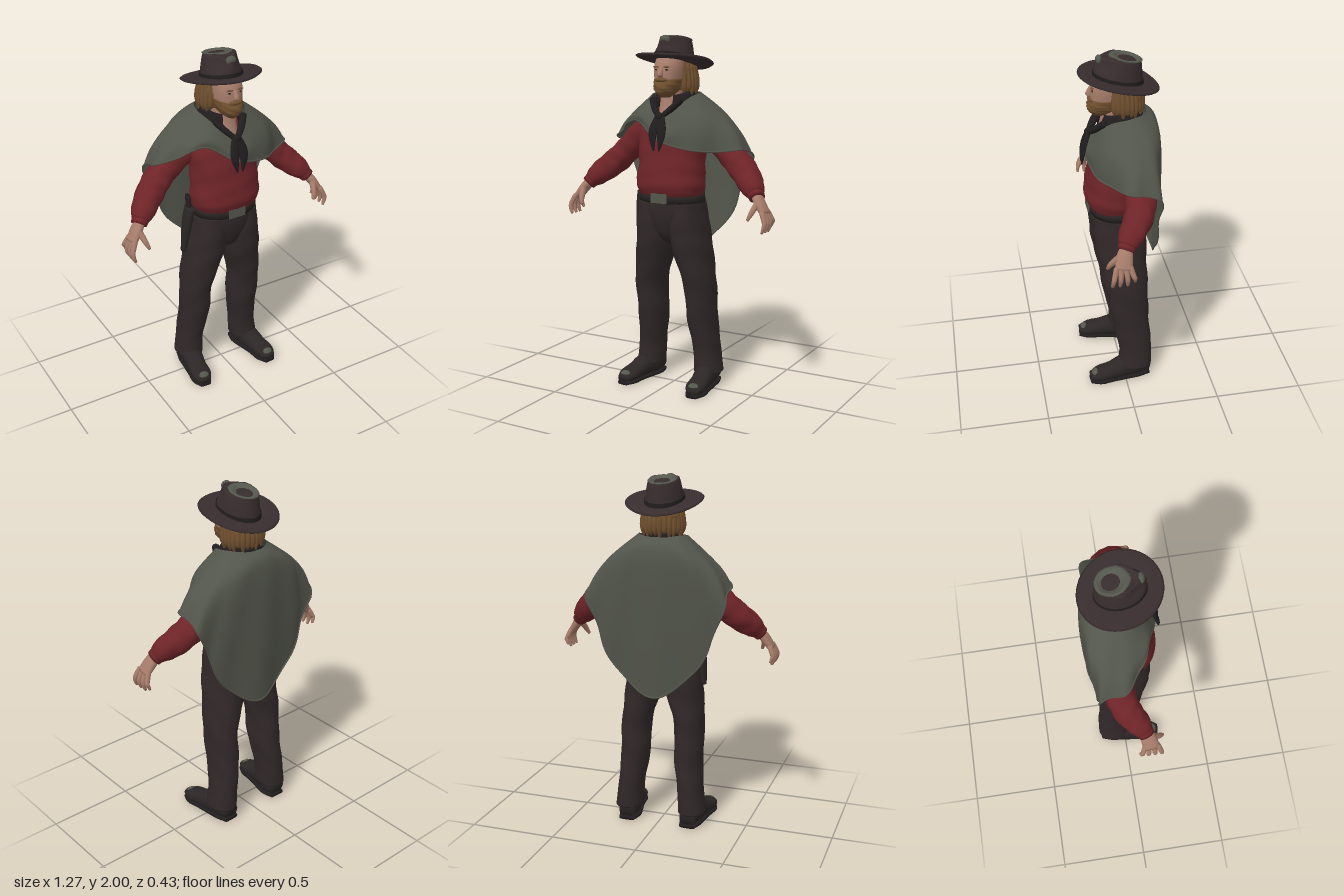
import * as THREE from 'three';

const mat = (name, color, side = THREE.FrontSide) => {
  const m = new THREE.MeshStandardMaterial({ color, side });
  m.name = name;
  return m;
};

// Catmull-Rom interpolation of rows of numbers, t from 0 to 1
function sample(rows, t) {
  const f = t * (rows.length - 1), i = Math.min(Math.floor(f), rows.length - 2), k = f - i;
  const at = j => rows[Math.max(0, Math.min(rows.length - 1, j))];
  return rows[i].map((_, c) => {
    const a = at(i - 1)[c], b = at(i)[c], d = at(i + 1)[c], e = at(i + 2)[c];
    return b + 0.5 * k * (d - a + k * (2 * a - 5 * b + 4 * d - e + k * (3 * (b - d) + e - a)));
  });
}

// Skin over closed rings of Vector3, optionally capped
function skin(rings, caps = true) {
  const n = rings[0].length, pos = [], idx = [];
  rings.forEach(r => r.forEach(p => pos.push(p.x, p.y, p.z)));
  for (let i = 0; i < rings.length - 1; i++) for (let j = 0; j < n; j++) {
    const a = i * n + j, b = i * n + (j + 1) % n;
    idx.push(a, b, a + n, b, b + n, a + n);
  }
  if (caps) [0, rings.length - 1].forEach((i, end) => {
    const c = new THREE.Vector3(), k = pos.length / 3;
    rings[i].forEach(p => c.addScaledVector(p, 1 / n));
    pos.push(c.x, c.y, c.z);
    for (let j = 0; j < n; j++) {
      const a = i * n + j, b = i * n + (j + 1) % n;
      end ? idx.push(k, a, b) : idx.push(k, b, a);
    }
  });
  const g = new THREE.BufferGeometry();
  g.setAttribute('position', new THREE.Float32BufferAttribute(pos, 3));
  g.setIndex(idx);
  g.computeVertexNormals();
  return g;
}

// Rounded section swept through rows [x, y, z, halfWidth, halfDepth], top to bottom.
// With 'up' the sections turn to follow the path; 'fold' adds cloth wrinkles.
function loft(rows, { n = 24, steps = 16, pow = 2.2, fold = 0, up = null, caps = true } = {}) {
  const rings = [];
  for (let i = 0; i <= steps; i++) {
    const t = i / steps, [x, y, z, a, b] = sample(rows, t);
    const U = new THREE.Vector3(1, 0, 0), W = new THREE.Vector3(0, 0, 1);
    if (up) {
      const p = sample(rows, Math.max(0, t - 0.02)), q = sample(rows, Math.min(1, t + 0.02));
      const T = new THREE.Vector3(q[0] - p[0], q[1] - p[1], q[2] - p[2]).normalize();
      W.copy(up).addScaledVector(T, -up.dot(T)).normalize();
      U.crossVectors(W, T);
    }
    rings.push(Array.from({ length: n }, (_, j) => {
      const th = j / n * Math.PI * 2, c = Math.cos(th), s = Math.sin(th);
      const e = v => Math.sign(v) * Math.abs(v) ** (2 / pow);
      const w = 1 + fold * (Math.sin(t * 38 + 2 * c + 3 * s) + 0.7 * Math.sin(5 * th + t * 17)) * Math.sin(Math.PI * t);
      return new THREE.Vector3(x, y, z).addScaledVector(U, a * w * e(c)).addScaledVector(W, b * w * e(s));
    }));
  }
  return skin(rings, caps);
}

export function createModel() {
  const root = new THREE.Group();
  root.name = 'cloakedRancher';
  const D = THREE.DoubleSide, Z = new THREE.Vector3(0, 0, 1), Y = new THREE.Vector3(0, 1, 0);
  const felt = mat('darkFelt', 0x382d2e), trouser = mat('darkTrousers', 0x312828), red = mat('redShirt', 0x6e2428);
  const wool = mat('greyGreenWool', 0x52554b, D), flesh = mat('skin', 0xa67c6a), hairMat = mat('brownHair', 0x70502f);
  const black = mat('blackCloth', 0x211d1e, D), leather = mat('darkLeather', 0x2c2626), grey = mat('wornGrey', 0x54574d);
  const add = (name, geo, m) => {
    const mesh = new THREE.Mesh(geo, m);
    mesh.name = name;
    root.add(mesh);
    return mesh;
  };
  const blob = (name, m, p, s) => {
    const o = add(name, new THREE.SphereGeometry(1, 16, 10), m);
    o.position.set(...p);
    o.scale.set(...s);
  };

  // Torso, hips and belt
  add('shirt', loft([[0, 1.6, -0.02, 0.1, 0.09], [0, 1.55, -0.01, 0.17, 0.125], [0, 1.45, 0.01, 0.2, 0.145], [0, 1.3, 0.03, 0.192, 0.15],
    [0, 1.18, 0.04, 0.2, 0.155], [0, 1.12, 0.03, 0.185, 0.145]], { n: 40, steps: 36, fold: 0.014 }), red);
  add('trouserHips', loft([[0, 1.11, 0.02, 0.18, 0.145], [0, 1.02, 0.017, 0.19, 0.147], [0, 0.93, 0.005, 0.13, 0.138],
    [0, 0.87, 0, 0.08, 0.11], [0, 0.835, 0, 0.04, 0.06]], { n: 32 }), trouser);
  add('belt', loft([[0, 1.14, 0.027, 0.187, 0.15], [0, 1.08, 0.022, 0.19, 0.152]], { n: 32, steps: 2 }), leather);
  add('buckle', new THREE.BoxGeometry(0.1, 0.055, 0.009), grey).position.set(0, 1.11, 0.178);

  for (const s of [1, -1]) {
    const side = s > 0 ? 'left' : 'right';
    const flip = rows => rows.map(([x, ...r]) => [x * s, ...r]);
    // Trouser leg and boot
    add(side + 'TrouserLeg', loft(flip([[0.1, 1.08, 0.02, 0.085, 0.13], [0.103, 0.95, 0.01, 0.1, 0.148], [0.12, 0.8, 0.0, 0.103, 0.14],
      [0.158, 0.6, -0.02, 0.083, 0.12], [0.162, 0.4, -0.04, 0.08, 0.11], [0.18, 0.22, -0.065, 0.073, 0.097], [0.192, 0.08, -0.065, 0.079, 0.097]]),
    { steps: 60, fold: 0.022 }), trouser);
    const foot = flip([[0.185, 0.055, -0.148, 0.045, 0.045], [0.187, 0.07, -0.08, 0.063, 0.065], [0.2, 0.07, 0, 0.06, 0.064],
      [0.213, 0.054, 0.08, 0.056, 0.046], [0.222, 0.045, 0.155, 0.058, 0.036], [0.226, 0.036, 0.212, 0.032, 0.018]]);
    add(side + 'Boot', loft(foot, { up: Y }), leather);
    add(side + 'Sole', loft(foot.map(([x, , z, a]) => [x, 0.011, z, a + 0.001, 0.011]), { up: Y, pow: 4 }), black);
    blob(side + 'ToeScuff', grey, [0.223 * s, 0.055, 0.175], [0.036, 0.022, 0.03]);

    // Sleeve, cuff and hand
    add(side + 'Sleeve', loft(flip([[0.16, 1.49, -0.04, 0.08, 0.08], [0.26, 1.42, -0.055, 0.078, 0.082], [0.35, 1.33, -0.055, 0.073, 0.082],
      [0.43, 1.255, -0.025, 0.073, 0.078], [0.5, 1.19, 0.03, 0.062, 0.066], [0.53, 1.16, 0.052, 0.045, 0.05]]),
    { up: Z, steps: 40, fold: 0.03 }), red);
    add(side + 'Cuff', loft(flip([[0.515, 1.175, 0.043, 0.047, 0.052], [0.545, 1.14, 0.063, 0.04, 0.046]]), { up: Z, steps: 3 }), red);
    add(side + 'Palm', loft(flip([[0.53, 1.16, 0.053, 0.028, 0.032], [0.565, 1.115, 0.072, 0.026, 0.044], [0.603, 1.06, 0.084, 0.019, 0.047]]),
      { up: Z, n: 14, steps: 8 }), flesh);
    for (let i = 0; i < 4; i++) {
      const z = 0.048 + i * 0.024, d = (i - 1.5) * 0.01, drop = i === 0 ? 0.02 : 0;
      add(side + 'Finger' + (i + 1), loft(flip([[0.597, 1.075, z, 0.015, 0.015], [0.62, 1.025, z + d, 0.014, 0.014],
        [0.619, 0.995 + drop, z + 1.4 * d, 0.012, 0.012], [0.608, 0.966 + drop, z + 1.6 * d, 0.007, 0.007]]), { up: Z, n: 8, steps: 8 }), flesh);
    }
    add(side + 'Thumb', loft(flip([[0.56, 1.12, 0.092, 0.018, 0.02], [0.545, 1.07, 0.137, 0.015, 0.016], [0.53, 1.03, 0.157, 0.008, 0.009]]),
      { up: Z, n: 8, steps: 8 }), flesh);

    // Eyes and brows
    blob(side + 'Eye', black, [0.03 * s, 1.812, 0.144], [0.011, 0.005, 0.006]);
    blob(side + 'Brow', hairMat, [0.031 * s, 1.828, 0.146], [0.021, 0.005, 0.007]);
    // Scarf tails
    add(side + 'ScarfTail', loft([[0.008 * s, 1.565, 0.165, 0.02, 0.014], [0.024 * s, 1.5, 0.188, 0.028, 0.012],
      [0.026 * s, 1.44, 0.2, 0.022, 0.01], [0.016 * s, 1.375, 0.205, 0.003, 0.004]], { n: 10 }), black);
    add(side + 'ScarfFold', loft(flip([[0.085, 1.645, 0.085, 0.02, 0.025], [0.05, 1.6, 0.13, 0.017, 0.022], [0.008, 1.56, 0.165, 0.014, 0.015]]),
      { up: Z, n: 10, steps: 8 }), black);
  }

  // Holster with pistol grip on the right hip
  add('holster', loft([[-0.205, 1.12, 0.01, 0.022, 0.045], [-0.222, 1.0, 0.0, 0.024, 0.04], [-0.24, 0.84, -0.01, 0.013, 0.02]], { n: 12 }), leather);
  add('pistolGrip', loft([[-0.2, 1.18, -0.02, 0.012, 0.022], [-0.208, 1.1, 0.005, 0.015, 0.02]], { n: 10, steps: 4 }), black);

  // Neck, scarf collar and knot
  add('neck', loft([[0, 1.73, 0.02, 0.06, 0.06], [0, 1.62, 0.03, 0.062, 0.072], [0, 1.55, 0.04, 0.065, 0.085]]), flesh);
  const collar = new THREE.LatheGeometry([[0.125, 1.58], [0.124, 1.63], [0.11, 1.675], [0.094, 1.7], [0.085, 1.68]]
    .map(p => new THREE.Vector2(...p)), 32, 0.4, Math.PI * 2 - 0.8);
  const cp = collar.attributes.position;
  for (let i = 0; i < cp.count; i++) cp.setXYZ(i, cp.getX(i), cp.getY(i) - 0.3 * cp.getZ(i), cp.getZ(i) - 0.005);
  collar.computeVertexNormals();
  add('scarfCollar', collar, black);
  blob('scarfKnot', black, [0, 1.56, 0.17], [0.024, 0.024, 0.018]);

  // Head, nose, beard and moustache
  add('head', loft([[0, 1.9, 0.02, 0.07, 0.09], [0, 1.84, 0.048, 0.078, 0.1], [0, 1.78, 0.055, 0.077, 0.1],
    [0, 1.72, 0.06, 0.065, 0.09], [0, 1.68, 0.06, 0.045, 0.06]]), flesh);
  add('nose', loft([[0, 1.828, 0.148, 0.009, 0.008], [0, 1.787, 0.16, 0.016, 0.018], [0, 1.772, 0.153, 0.013, 0.01]], { n: 10, steps: 6 }), flesh);
  add('beard', loft([[0, 1.762, 0.058, 0.077, 0.094], [0, 1.725, 0.07, 0.071, 0.1], [0, 1.69, 0.08, 0.055, 0.085],
    [0, 1.662, 0.085, 0.025, 0.05]], { fold: 0.03 }), hairMat);
  blob('moustache', hairMat, [0, 1.758, 0.15], [0.042, 0.013, 0.018]);

  // Hair cap with hanging locks around the sides and back
  add('hair', loft([[0, 1.86, 0.01, 0.07, 0.05], [0, 1.815, -0.027, 0.105, 0.094], [0, 1.75, -0.03, 0.113, 0.093],
    [0, 1.7, -0.03, 0.1, 0.085]], { n: 36, pow: 2.8, fold: 0.02 }), hairMat);
  for (let i = 0; i < 20; i++) {
    const a = -0.75 + i / 19 * (Math.PI + 1.5), c = Math.cos(a), s = Math.sin(a), low = 1.675 + 0.018 * Math.sin(i * 2.4);
    add('hairLock', loft([[0.1 * c, 1.833 - 0.02 * s, -0.03 - 0.088 * s, 0.014, 0.014], [0.11 * c, 1.76, -0.03 - 0.096 * s, 0.018, 0.017],
      [0.112 * c, 1.71, -0.03 - 0.096 * s, 0.015, 0.015], [0.104 * c, low, -0.03 - 0.09 * s, 0.003, 0.003]], { n: 7, steps: 8 }), hairMat);
  }

  // Hat: tilted brim, pinched crown, worn top
  const tilt = (g, pinch) => {
    const p = g.attributes.position;
    for (let i = 0; i < p.count; i++) {
      const x = p.getX(i), y = p.getY(i), z = p.getZ(i);
      const high = THREE.MathUtils.smoothstep(y, 1.87, 1.97), front = THREE.MathUtils.smoothstep(z, -0.01, 0.13);
      const lift = 0.22 * z - 0.25 * high * Math.max(0, z - 0.03);
      p.setXYZ(i, x * (1 - pinch * high * front), y + lift + (pinch ? 0 : 0.35 * x * x), z);
    }
    g.computeVertexNormals();
    return g;
  };
  const brim = [[0.06, 1.847], [0.15, 1.847], [0.207, 1.845], [0.217, 1.852], [0.207, 1.86], [0.15, 1.861], [0.06, 1.861]];
  add('hatBrim', tilt(new THREE.LatheGeometry(brim.map(p => new THREE.Vector2(...p)), 48), 0), felt);
  add('hatCrown', tilt(loft([[0, 1.972, -0.035, 0.07, 0.08], [0, 1.986, -0.01, 0.08, 0.108], [0, 1.97, 0, 0.09, 0.122],
    [0, 1.92, 0.002, 0.1, 0.128], [0, 1.85, 0.002, 0.108, 0.133]], { n: 40, pow: 2 }), 0.5), felt);
  add('hatBand', tilt(loft([[0, 1.885, 0.002, 0.108, 0.134], [0, 1.858, 0.002, 0.111, 0.137]], { n: 40, steps: 2, pow: 2, caps: false }), 0.5), black);
  add('wornCrownTop', tilt(loft([[0, 1.978, -0.045, 0.042, 0.045], [0, 1.991, -0.04, 0.065, 0.072], [0, 1.987, -0.036, 0.08, 0.09]],
    { n: 32, steps: 6, pow: 2 }), 0.4), grey);
  add('crownSpot', tilt(loft([[0, 1.981, -0.045, 0.044, 0.046], [0, 1.976, -0.045, 0.044, 0.046]], { n: 24, steps: 1, pow: 2 }), 0.3), felt);
  blob('crownFrontWear', grey, [0, 1.974, 0.104], [0.03, 0.025, 0.018]);

  // Poncho: loops from neck to hem, front centre round by the left side
  const loops = [
    [[0, 1.56, 0.13], [0.08, 1.62, 0.1], [0.125, 1.665, 0.04], [0.135, 1.68, -0.03], [0.125, 1.685, -0.07], [0.1, 1.685, -0.11], [0.05, 1.68, -0.14],
      [0, 1.68, -0.145], [-0.05, 1.68, -0.14], [-0.1, 1.685, -0.11], [-0.125, 1.685, -0.07], [-0.135, 1.68, -0.03], [-0.125, 1.665, 0.04], [-0.08, 1.62, 0.1]],
    [[0.01, 1.5, 0.165], [0.15, 1.53, 0.135], [0.24, 1.555, 0.07], [0.275, 1.565, -0.03], [0.27, 1.565, -0.11], [0.22, 1.565, -0.17], [0.12, 1.585, -0.2],
      [0, 1.59, -0.21], [-0.12, 1.585, -0.2], [-0.22, 1.565, -0.18], [-0.27, 1.565, -0.12], [-0.27, 1.565, -0.04], [-0.225, 1.58, 0.05], [-0.13, 1.58, 0.125]],
    [[0, 1.43, 0.182], [0.15, 1.39, 0.162], [0.3, 1.375, 0.085], [0.415, 1.385, -0.01], [0.41, 1.34, -0.145], [0.34, 1.14, -0.155], [0.22, 0.92, -0.165],
      [0, 0.785, -0.19], [-0.22, 0.94, -0.165], [-0.34, 1.17, -0.16], [-0.395, 1.36, -0.15], [-0.39, 1.415, -0.03], [-0.3, 1.47, 0.06], [-0.18, 1.53, 0.125]],
  ];
  loops.splice(2, 0, loops[1].map((p, i) => p.map((v, c) => (v + loops[2][i][c]) / 2 * (c === 1 ? 1 : 1.05))));
  const curves = loops.map(l => new THREE.CatmullRomCurve3(l.map(p => new THREE.Vector3(...p)), true));
  const rings = [];
  for (let i = 0; i <= 20; i++) {
    const v = i / 20;
    rings.push(Array.from({ length: 112 }, (_, j) => {
      const u = 1 - j / 112, p = sample(curves.map(c => c.getPoint(u).toArray()), v);
      const k = 1 + 0.025 * v * Math.sin(u * Math.PI * 20 + v * 2);
      return new THREE.Vector3(p[0] * k, p[1], p[2] * k);
    }));
  }
  add('poncho', skin(rings, false), wool);
  add('ponchoHem', new THREE.TubeGeometry(new THREE.CatmullRomCurve3(rings[20], true), 224, 0.005, 6, true), wool);
  return root;
}
